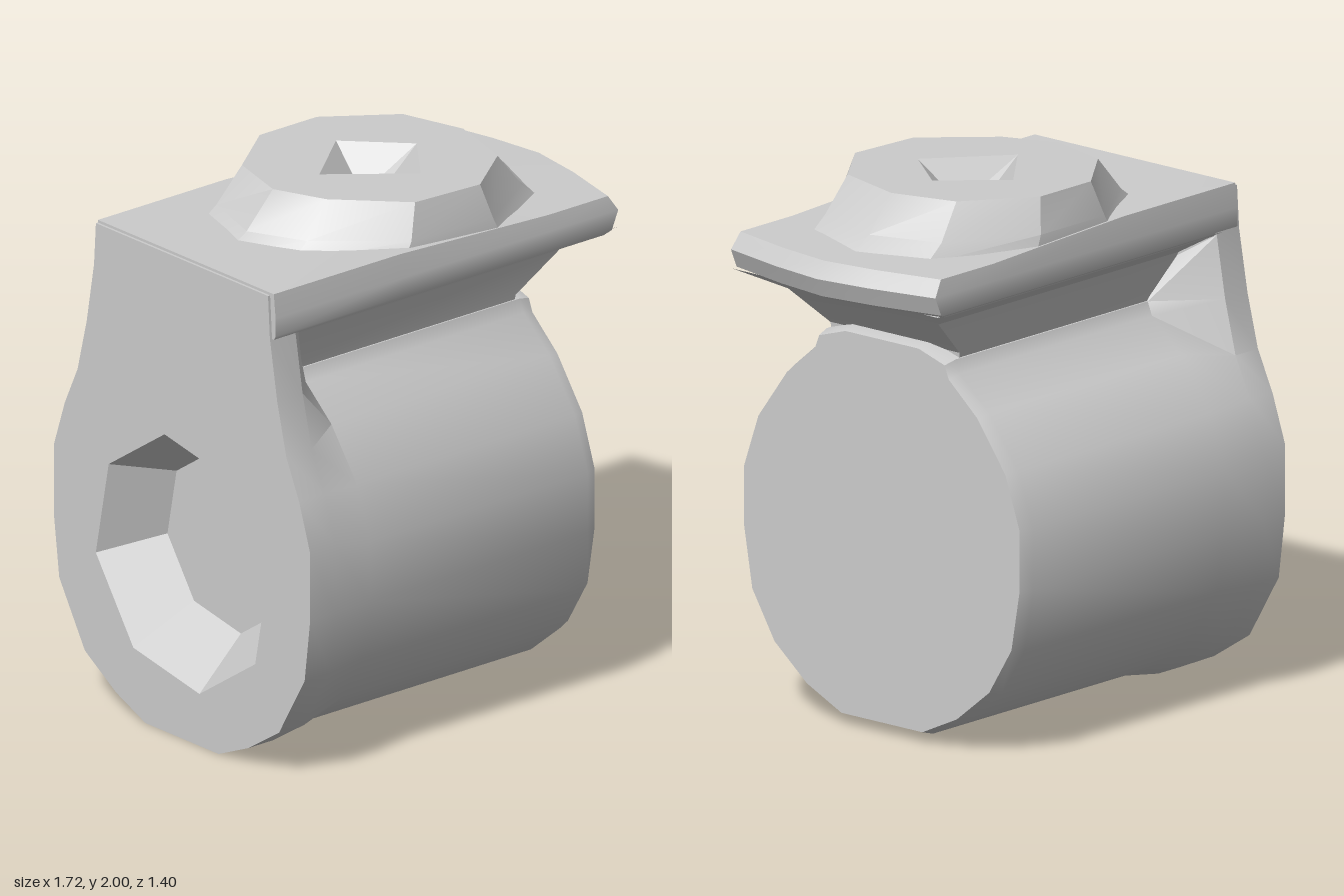
import * as THREE from 'three';
import { toCreasedNormals } from 'three/addons/utils/BufferGeometryUtils.js';

// Skin a list of equal-length rings of [x, y, z]; optional fan caps on the first and last ring.
function loft(rings, capFirst = false, capLast = false) {
  const n = rings[0].length, pos = rings.flat(2), idx = [];
  for (let s = 0; s < rings.length - 1; s++) {
    for (let i = 0; i < n; i++) {
      const a = s * n + i, b = s * n + (i + 1) % n;
      idx.push(a, a + n, b, a + n, b + n, b);
    }
  }
  const cap = (s, last) => {
    const c = pos.length / 3;
    for (let k = 0; k < 3; k++) pos.push(rings[s].reduce((t, p) => t + p[k], 0) / n);
    for (let i = 0; i < n; i++) {
      const a = s * n + i, b = s * n + (i + 1) % n;
      idx.push(c, last ? b : a, last ? a : b);
    }
  };
  if (capFirst) cap(0, false);
  if (capLast) cap(rings.length - 1, true);
  const g = new THREE.BufferGeometry();
  g.setAttribute('position', new THREE.Float32BufferAttribute(pos, 3));
  g.setIndex(idx);
  return g;
}

// Flat face with one hole, from [u, v] outlines.
function holedFace(outline, hole) {
  const toV = (l) => l.map(([u, v]) => new THREE.Vector2(u, v));
  const shape = new THREE.Shape(toV(outline));
  shape.holes.push(new THREE.Path(toV(hole)));
  return new THREE.ShapeGeometry(shape);
}

// Mirror a half profile of [z, y] into a closed outline.
const mirrored = (half) => [...half, ...half.slice().reverse().map(([z, y]) => [-z, y])];
const atX = (x, outline) => outline.map(([z, y]) => [x, y, z]);
const atY = (y, outline) => outline.map(([x, z]) => [x, y, z]);

export function createModel() {
  const group = new THREE.Group();
  const grey = new THREE.MeshStandardMaterial({ color: 0xcccccc });
  grey.name = 'plain grey';
  const add = (name, geometry, crease = 0.6) => {
    const mesh = new THREE.Mesh(toCreasedNormals(geometry, crease), grey);
    mesh.name = name;
    group.add(mesh);
  };

  // Barrel lying along x, widening into a tall flange at its -x end
  const flange = mirrored([
    [0.2, 0.0], [0.36, 0.07], [0.53, 0.18], [0.67, 0.42], [0.7, 0.66], [0.7, 0.92],
    [0.64, 1.1], [0.57, 1.25], [0.52, 1.45], [0.48, 1.68], [0.47, 1.84],
  ]);
  const barrel = mirrored([
    [0.2, 0.03], [0.37, 0.11], [0.53, 0.24], [0.64, 0.42], [0.68, 0.65], [0.68, 0.88],
    [0.61, 1.08], [0.47, 1.27], [0.33, 1.39], [0.31, 1.44], [0.18, 1.48],
  ]);
  const tip = barrel.map(([z, y]) => [z * 0.97, 0.75 + (y - 0.75) * 0.98]);
  add('barrel', loft([
    atX(-0.86, flange), atX(-0.74, flange), atX(-0.56, barrel), atX(0.47, barrel), atX(0.52, tip),
  ], false, true));

  // Flange face with a shallow eight-sided socket
  const octagon = (r, cy) => Array.from({ length: 8 }, (_, i) => {
    const a = (i / 8) * Math.PI * 2 + 0.2;
    return [r * Math.sin(a), cy - r * Math.cos(a)];
  });
  const rim = octagon(0.48, 0.67);
  add('flangeFace', holedFace(flange, rim).rotateY(-Math.PI / 2).translate(-0.86, 0, 0));
  add('socket', loft([atX(-0.64, octagon(0.34, 0.7)), atX(-0.86, rim)], true));

  // Neck flaring from the barrel up to the plate
  const box = (x0, x1, z) => [[x1, -z], [x1, z], [x0, z], [x0, -z]];
  add('neck', loft([
    atY(1.36, box(-0.66, 0.44, 0.29)),
    atY(1.46, box(-0.66, 0.45, 0.31)),
    atY(1.61, box(-0.7, 0.62, 0.36)),
    atY(1.69, box(-0.76, 0.77, 0.49)),
  ]));

  // Top plate with a bowed +x end
  const plateRing = (y, xm, zm, rise = 0) => {
    const half = [[xm - 0.03, 0.22], [xm - 0.09, zm], [0.45, zm], [-0.25, zm], [-0.85, zm]];
    const outline = [[xm, 0], ...half, ...half.slice().reverse().map(([x, z]) => [x, -z])];
    return outline.map(([x, z]) => [x, x < 0 ? y + rise : y, z + 0.01]);
  };
  add('plate', loft([
    plateRing(1.675, 0.8, 0.48), plateRing(1.69, 0.83, 0.49),
    plateRing(1.76, 0.86, 0.49), plateRing(1.82, 0.82, 0.48, 0.03),
  ], true, true));

  // Ten-sided sloping boss on the plate
  const bossTop = [
    [0.47, 0], [0.39, 0.28], [0.16, 0.45], [-0.13, 0.43], [-0.35, 0.2],
    [-0.43, 0], [-0.36, -0.25], [-0.12, -0.43], [0.15, -0.43], [0.4, -0.25],
  ];
  const spread = (sx, sz) => bossTop.map(([x, z]) => [0.03 + (x - 0.03) * sx, z * sz]);
  add('boss', loft([
    atY(1.81, spread(1.48, 1.08)), atY(1.87, spread(1.27, 1.07)), atY(2, bossTop),
  ]), 0.5);

  // Boss top with a four-sided pit
  const pit = [[0.25, 0], [0.07, 0.23], [-0.21, 0], [0.05, -0.21]];
  const flip = (l) => l.map(([x, z]) => [x, -z]);
  add('bossTop', holedFace(flip(bossTop), flip(pit)).rotateX(-Math.PI / 2).translate(0, 2, 0));
  const pitFloor = [[0.03, 0.01], [0.02, 0.09], [0.01, 0.01], [0.02, -0.06]];
  add('pit', loft([atY(2, pit), atY(1.83, pitFloor)], false, true), 0.2);

  return group;
}
